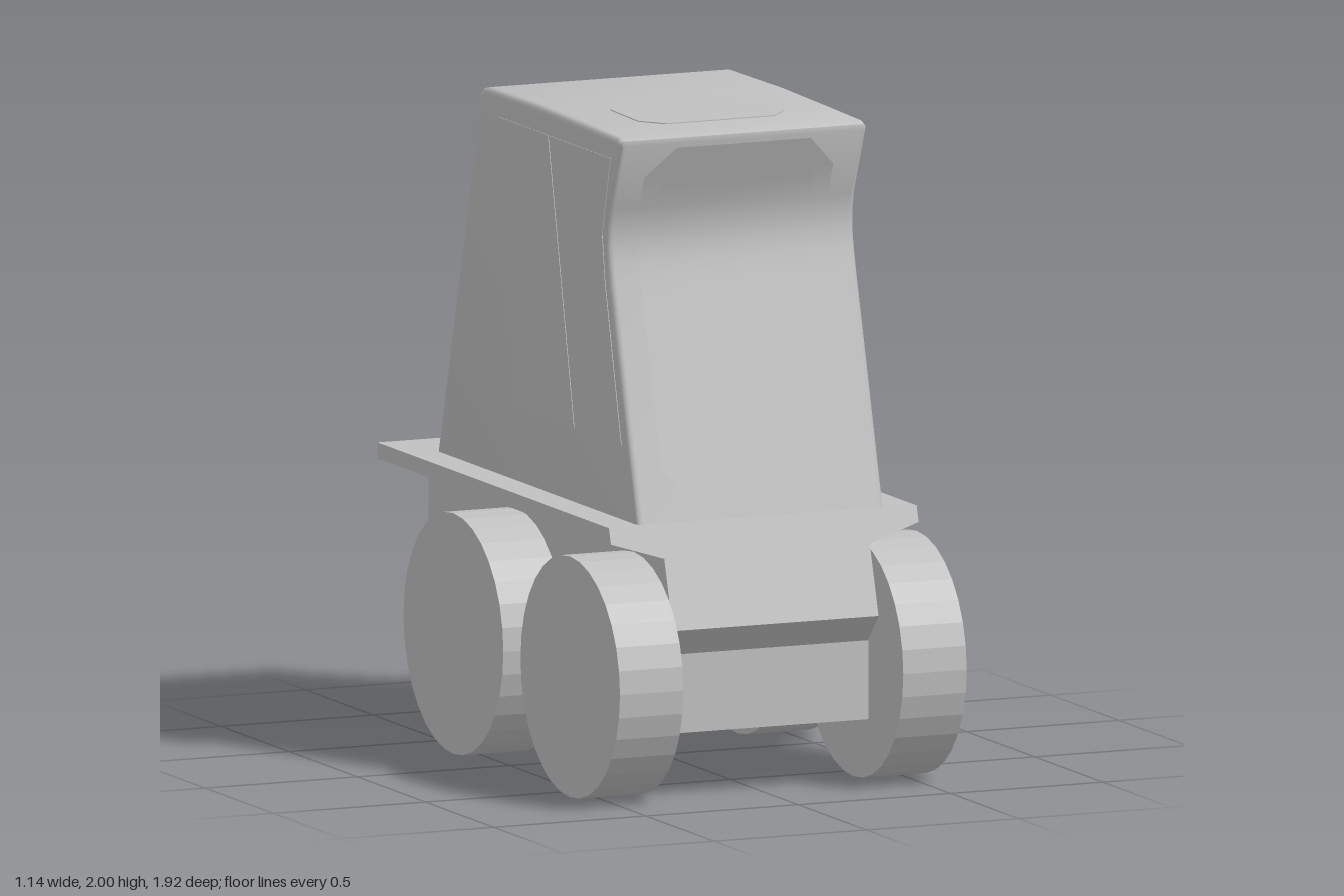
import * as THREE from 'three';
import { toCreasedNormals } from 'three/addons/utils/BufferGeometryUtils.js';

const grey = new THREE.MeshStandardMaterial({ color: 0xc0c0c0, side: THREE.DoubleSide });
grey.name = 'bodyGrey';

// Front edge of the cabin as [y, z], bottom to top
const FRONT = [[0.8, 0.736], [1.54, 0.53], [1.6, 0.515], [1.65, 0.506], [1.7, 0.506], [1.76, 0.517], [1.965, 0.602]];

function frontZ(y) {
  let i = 1;
  while (i < FRONT.length - 1 && y > FRONT[i][0]) i++;
  const [y0, z0] = FRONT[i - 1], [y1, z1] = FRONT[i];
  return z0 + (z1 - z0) * (y - y0) / (y1 - y0);
}
const backZ = (y) => -0.45 - (1.9 - y) * 0.278;

function makeMesh(name, geometry, crease = 0.1) {
  const mesh = new THREE.Mesh(toCreasedNormals(geometry, crease), grey);
  mesh.name = name;
  return mesh;
}

const shapeOf = (points) => new THREE.Shape(points.map(([x, y]) => new THREE.Vector2(x, y)));

// Extrude a [z, y] side profile across x, centred on cx
function sideExtrude(points, width, cx = 0, bevel = 0) {
  const geometry = new THREE.ExtrudeGeometry(shapeOf(points), {
    depth: width - 2 * bevel, bevelEnabled: bevel > 0,
    bevelSize: bevel, bevelThickness: bevel, bevelOffset: -bevel, bevelSegments: 3,
  });
  geometry.translate(0, 0, bevel - width / 2);
  geometry.rotateY(-Math.PI / 2);
  return geometry.translate(cx, 0, 0);
}

// Octagonal sheet that follows the surface z = zAt(y)
function windowSheet(y0, y1, half, cut, zAt, facing) {
  const ys = [y0, y0 + cut, ...FRONT.map((p) => p[0]).filter((y) => y > y0 + cut && y < y1 - cut), y1 - cut, y1].reverse();
  const geometry = new THREE.PlaneGeometry(2, 1, 1, ys.length - 1);
  const p = geometry.attributes.position;
  for (let i = 0; i < p.count; i++) {
    const y = ys[Math.floor(i / 2)];
    const w = y === y0 || y === y1 ? half - cut : half;
    p.setXYZ(i, p.getX(i) * w * facing, y, zAt(y));
  }
  return geometry;
}

export function createModel() {
  const model = new THREE.Group();
  model.name = 'cabVehicle';

  // Chassis with overhanging nose and rising tail
  model.add(makeMesh('chassis', sideExtrude([
    [-0.96, 0.295], [-0.72, 0.2], [0.76, 0.2], [0.76, 0.44], [0.835, 0.525], [0.771, 0.735], [-0.96, 0.735],
  ], 0.675)));

  // Deck with flared sides and a raked front edge
  const deck = new THREE.ExtrudeGeometry(shapeOf([
    [-0.337, 0.735], [0.337, 0.735], [0.505, 0.787], [0.505, 0.835], [-0.505, 0.835], [-0.505, 0.787],
  ]), { depth: 1.7, bevelEnabled: false });
  deck.translate(0, 0, -0.96);
  const p = deck.attributes.position;
  for (let i = 0; i < p.count; i++) {
    if (p.getZ(i) > 0) p.setZ(i, 0.74 + (0.835 - p.getY(i)) * 0.306);
  }
  model.add(makeMesh('deck', deck));

  // Cabin with softened edges
  const cabin = [
    [-0.756, 0.8], ...FRONT.map(([y, z]) => [z, y]),
    [0.6, 1.98], [0.575, 1.99], [0.3, 1.995], [0, 2], [-0.38, 1.996],
    [-0.42, 1.988], [-0.45, 1.965], [-0.463, 1.93], [-0.452, 1.89],
  ];
  model.add(makeMesh('cabin', sideExtrude(cabin, 0.81, 0, 0.018), 0.6));

  // Layered windscreen and rear window
  model.add(makeMesh('windscreenFrame', windowSheet(0.9, 1.95, 0.31, 0.09, (y) => frontZ(y) + 0.006, 1), 0.6));
  model.add(makeMesh('windscreen', windowSheet(0.95, 1.9, 0.255, 0.07, (y) => frontZ(y) + 0.01, 1), 0.6));
  model.add(makeMesh('rearWindow', windowSheet(1.54, 1.85, 0.31, 0.07, (y) => backZ(y) - 0.004, -1)));

  // Roof hatch
  const hatch = new THREE.ExtrudeGeometry(shapeOf([
    [-0.18, -0.17], [0.18, -0.17], [0.24, -0.1], [0.24, 0.1], [0.18, 0.17], [-0.18, 0.17], [-0.24, 0.1], [-0.24, -0.1],
  ]), { depth: 0.003, bevelEnabled: false });
  const hatchMesh = makeMesh('roofHatch', hatch.rotateX(-Math.PI / 2));
  hatchMesh.position.set(0, 1.9955, 0.26);
  hatchMesh.rotation.x = 0.017;
  model.add(hatchMesh);

  // Door panels and wheels on both sides
  const frontPanel = [[0.275, 1.06], [0.61, 1.06], [0.49, 1.54], [0.47, 1.68], [0.53, 1.92], [0.085, 1.92]];
  const rearPanel = [[0.265, 1.06], [0.075, 1.92], [-0.295, 1.92], [-0.365, 1.6], [-0.28, 1.59], [-0.17, 1.06]];
  for (const [side, s] of [['left', 1], ['right', -1]]) {
    model.add(makeMesh(side + 'FrontPanel', sideExtrude(frontPanel, 0.004, s * 0.405)));
    model.add(makeMesh(side + 'RearPanel', sideExtrude(rearPanel, 0.004, s * 0.405)));
    for (const [end, z] of [['Front', 0.598], ['Rear', -0.259]]) {
      const wheel = makeMesh(side + end + 'Wheel', new THREE.CylinderGeometry(0.366, 0.366, 0.208, 32).rotateZ(Math.PI / 2));
      wheel.position.set(s * 0.465, 0.366, z);
      model.add(wheel);
    }
  }
  return model;
}
